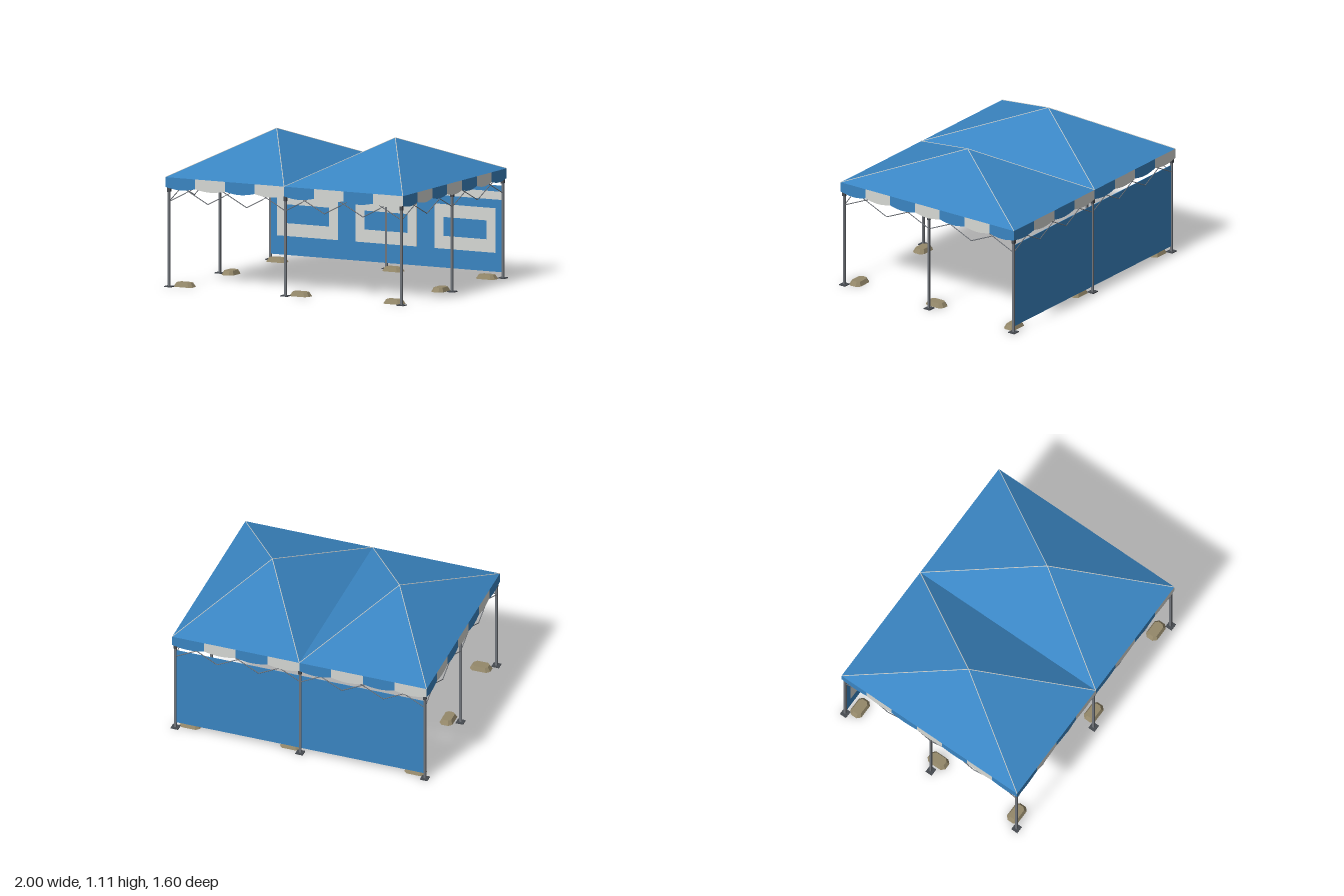
import * as THREE from 'three';

const mat = (name, color, side = THREE.FrontSide) => {
  const m = new THREE.MeshStandardMaterial({ color, side });
  m.name = name;
  return m;
};

export function createModel() {
  const blue = mat('blue fabric', 0x3a85c2, THREE.DoubleSide);
  const pale = mat('pale fabric', 0xd6d8d4, THREE.DoubleSide);
  const metal = mat('grey metal', 0x70747a);
  const dark = mat('dark fittings', 0x464a50);
  const sand = mat('tan weight', 0x94886a);

  const W = 0.99, D = 0.79, EAVE = 0.813, APEX = 1.108; // canopy half sizes and heights
  const PX = 0.97, PZ = 0.771; // post positions

  const model = new THREE.Group();
  model.name = 'marquee';
  const group = (name, parent = model) => {
    const g = new THREE.Group();
    g.name = name;
    parent.add(g);
    return g;
  };
  const add = (parent, name, geo, material, x = 0, y = 0, z = 0) => {
    const m = new THREE.Mesh(geo, material);
    m.name = name;
    m.position.set(x, y, z);
    parent.add(m);
    return m;
  };
  const box = (parent, name, material, w, h, d, x, y, z) =>
    add(parent, name, new THREE.BoxGeometry(w, h, d), material, x, y, z);
  // Thin rod between two points
  const rod = (parent, name, material, a, b, r) => {
    const dir = b.clone().sub(a);
    const m = add(parent, name, new THREE.CylinderGeometry(r, r, dir.length(), 6), material);
    m.position.copy(a).add(b).multiplyScalar(0.5);
    m.quaternion.setFromUnitVectors(new THREE.Vector3(0, 1, 0), dir.normalize());
  };

  // Two pyramid roofs side by side, with a seam along each hip
  const roof = group('roof');
  for (const cx of [-W / 2, W / 2]) {
    const apex = new THREE.Vector3(cx, APEX, 0);
    const corners = [[-1, 1], [1, 1], [1, -1], [-1, -1]]
      .map(([sx, sz]) => new THREE.Vector3(cx + sx * W / 2, EAVE, sz * D));
    const points = [];
    corners.forEach((c, i) => points.push(c, corners[(i + 1) % 4], apex));
    const geo = new THREE.BufferGeometry().setFromPoints(points);
    geo.computeVertexNormals();
    add(roof, 'roofPyramid', geo, blue);
    corners.forEach(c => rod(roof, 'hipSeam', pale, c, apex, 0.003));
  }

  // Striped valance with one scallop per stripe
  const valance = (name, half, dist, count, turn) => {
    const side = group(name);
    side.rotation.y = turn;
    const w = 2 * half / count;
    for (let i = 0; i < count; i++) {
      const s = new THREE.Shape();
      s.moveTo(0, 0);
      for (let k = 0; k <= 8; k++) s.lineTo(w * k / 8, -0.073 - 0.017 * Math.sin(Math.PI * k / 8));
      s.lineTo(w, 0);
      add(side, 'valanceStripe', new THREE.ShapeGeometry(s), i % 2 ? pale : blue, -half + i * w, EAVE, dist);
    }
  };
  valance('frontValance', W, D, 8, 0);
  valance('backValance', W, D, 8, Math.PI);
  valance('leftValance', D, W, 7, Math.PI / 2);
  valance('rightValance', D, W, 7, -Math.PI / 2);

  // Tapered ground weight with clipped ends
  const weightGeometry = () => {
    const s = new THREE.Shape();
    [[-0.08, -0.025], [-0.055, -0.05], [0.055, -0.05], [0.08, -0.025],
      [0.08, 0.025], [0.055, 0.05], [-0.055, 0.05], [-0.08, 0.025]]
      .forEach(([x, y], i) => (i ? s.lineTo(x, y) : s.moveTo(x, y)));
    const geo = new THREE.ExtrudeGeometry(s, { depth: 0.032, bevelEnabled: false });
    geo.rotateX(-Math.PI / 2);
    const p = geo.attributes.position;
    for (let i = 0; i < p.count; i++) {
      if (p.getY(i) > 0.01) p.setXYZ(i, p.getX(i) * 0.74, p.getY(i), p.getZ(i) * 0.72);
    }
    geo.computeVertexNormals();
    return geo;
  };

  // Eight posts around the edge, each with a foot, a top joint and a weight
  for (const ix of [-1, 0, 1]) for (const iz of [-1, 0, 1]) {
    if (!ix && !iz) continue;
    const x = ix * PX, z = iz * PZ;
    const post = group('post');
    box(post, 'pole', metal, 0.016, 0.8, 0.016, x, 0.4, z);
    box(post, 'footPlate', dark, 0.058, 0.007, 0.054, x, 0.0035, z);
    box(post, 'topJoint', dark, 0.023, 0.036, 0.023, x, 0.722, z);
    const weight = add(post, 'groundWeight', weightGeometry(), sand, ix ? ix * 0.875 : 0.093, 0, iz * 0.705);
    if (!iz) weight.rotation.y = Math.PI / 2;
  }

  // Scissor bars between neighbouring posts
  const LOW = 0.632, HIGH = 0.8;
  const scissors = (name, a, b, units) => {
    const truss = group(name);
    const at = (t, y) => new THREE.Vector3().lerpVectors(a, b, t / units).setY(y);
    for (let i = 0; i < units; i++) {
      rod(truss, 'scissorBar', metal, at(i, LOW), at(i + 1, HIGH), 0.0035);
      rod(truss, 'scissorBar', metal, at(i, HIGH), at(i + 1, LOW), 0.0035);
    }
  };
  const v = (x, z) => new THREE.Vector3(x, 0, z);
  for (const s of [-1, 1]) for (const t of [-1, 1]) {
    scissors('longTruss', v(t * PX, s * PZ), v(0, s * PZ), 3);
    scissors('shortTruss', v(s * PX, t * PZ), v(s * PX, 0), 2);
  }

  // Back wall, printed on the inside with a band and three framed panels
  const wall = group('backWall');
  const wz = -0.768;
  box(wall, 'wallSheet', blue, 1.935, 0.64, 0.004, 0, 0.365, wz);
  box(wall, 'wallBand', pale, 1.935, 0.06, 0.002, 0, 0.61, wz + 0.003);
  for (const x of [-0.657, 0, 0.657]) {
    const frame = new THREE.Shape();
    frame.moveTo(-0.255, -0.165).lineTo(0.255, -0.165).lineTo(0.255, 0.165).lineTo(-0.255, 0.165);
    const hole = new THREE.Path();
    hole.moveTo(-0.18, -0.07).lineTo(-0.18, 0.07).lineTo(0.18, 0.07).lineTo(0.18, -0.07);
    frame.holes.push(hole);
    add(wall, 'wallFrame', new THREE.ExtrudeGeometry(frame, { depth: 0.002, bevelEnabled: false }),
      pale, x, 0.35, wz + 0.002);
  }
  return model;
}
